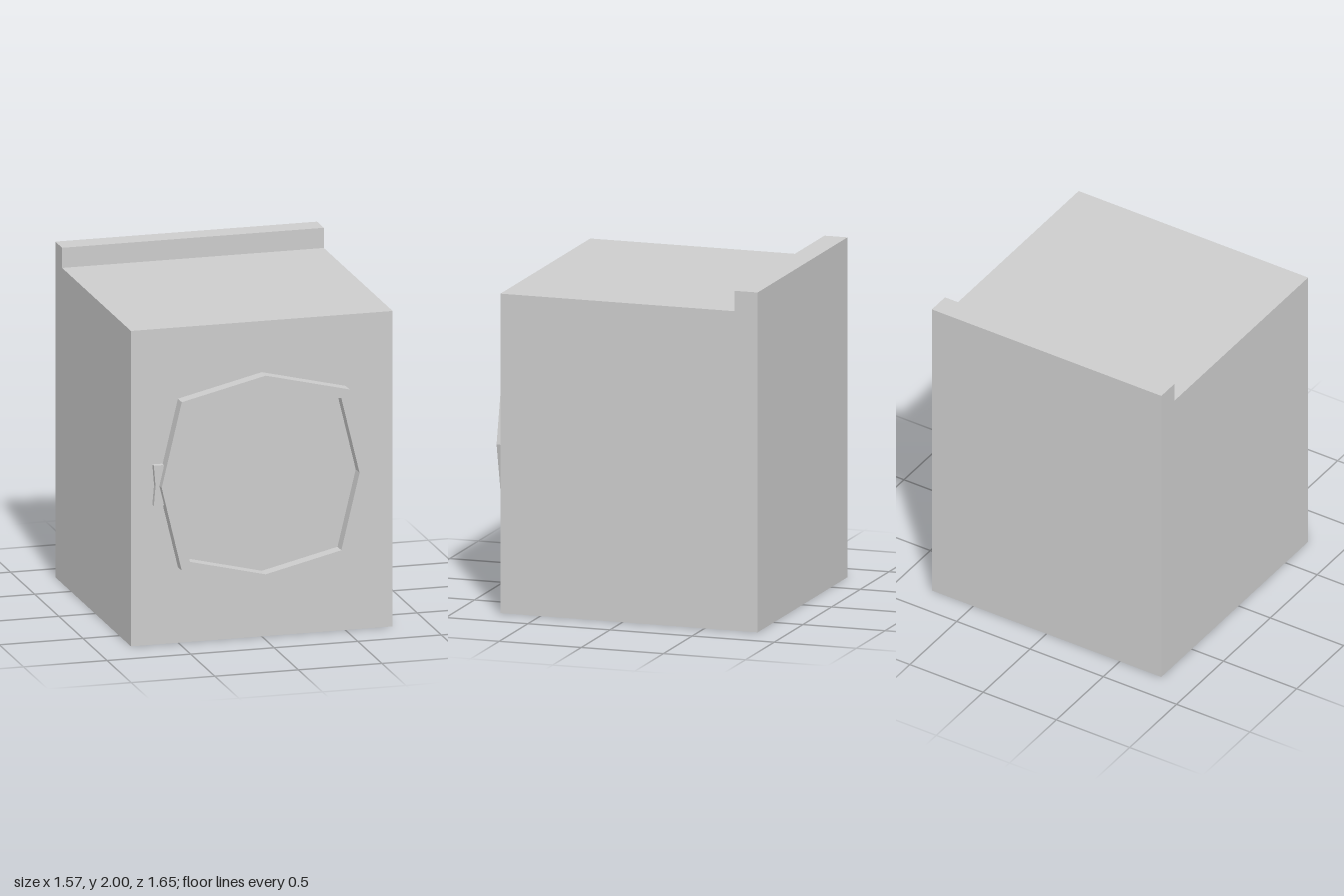
import * as THREE from 'three';

const grey = new THREE.MeshStandardMaterial({ color: 0xcccccc });
grey.name = 'grey';

const points = (list) => list.map(([x, y]) => new THREE.Vector2(x, y));

// Eight-sided outline with points on the axes and on the diagonals
function octagon(axis, diagonal) {
  return points(Array.from({ length: 8 }, (_, i) => {
    const a = i * Math.PI / 4;
    const r = i % 2 ? diagonal * Math.SQRT2 : axis;
    return [Math.cos(a) * r, Math.sin(a) * r];
  }));
}

function extrude(name, shape, depth) {
  const geometry = new THREE.ExtrudeGeometry(shape, { depth, bevelEnabled: false });
  const mesh = new THREE.Mesh(geometry, grey);
  mesh.name = name;
  return mesh;
}

export function createModel() {
  const model = new THREE.Group();
  model.name = 'washingMachine';
  const front = 0.743, back = -0.823, halfWidth = 0.783, doorY = 0.953;

  // Cabinet with raised control ridge: side profile (z, y) swept across the width
  const cabinet = extrude('cabinet', new THREE.Shape(points([
    [back, 0], [front, 0], [front, 1.88], [-0.683, 1.88], [-0.683, 2], [back, 2],
  ])), halfWidth * 2);
  cabinet.geometry.translate(0, 0, -halfWidth).rotateY(-Math.PI / 2);

  // Door rim around the recessed window
  const rimShape = new THREE.Shape(octagon(0.622, 0.502));
  rimShape.holes.push(new THREE.Path(octagon(0.562, 0.453)));
  const rim = extrude('doorRim', rimShape, 0.08);
  rim.position.set(0, doorY, front);

  // Door handle with a pinched outer edge, tucked against the rim
  const handle = extrude('doorHandle', new THREE.Shape(points([
    [-0.655, -0.118], [-0.595, -0.118], [-0.61, 0], [-0.595, 0.122], [-0.655, 0.122], [-0.645, 0],
  ])), 0.032);
  handle.position.set(0, doorY, front);

  model.add(cabinet, rim, handle);
  return model;
}
